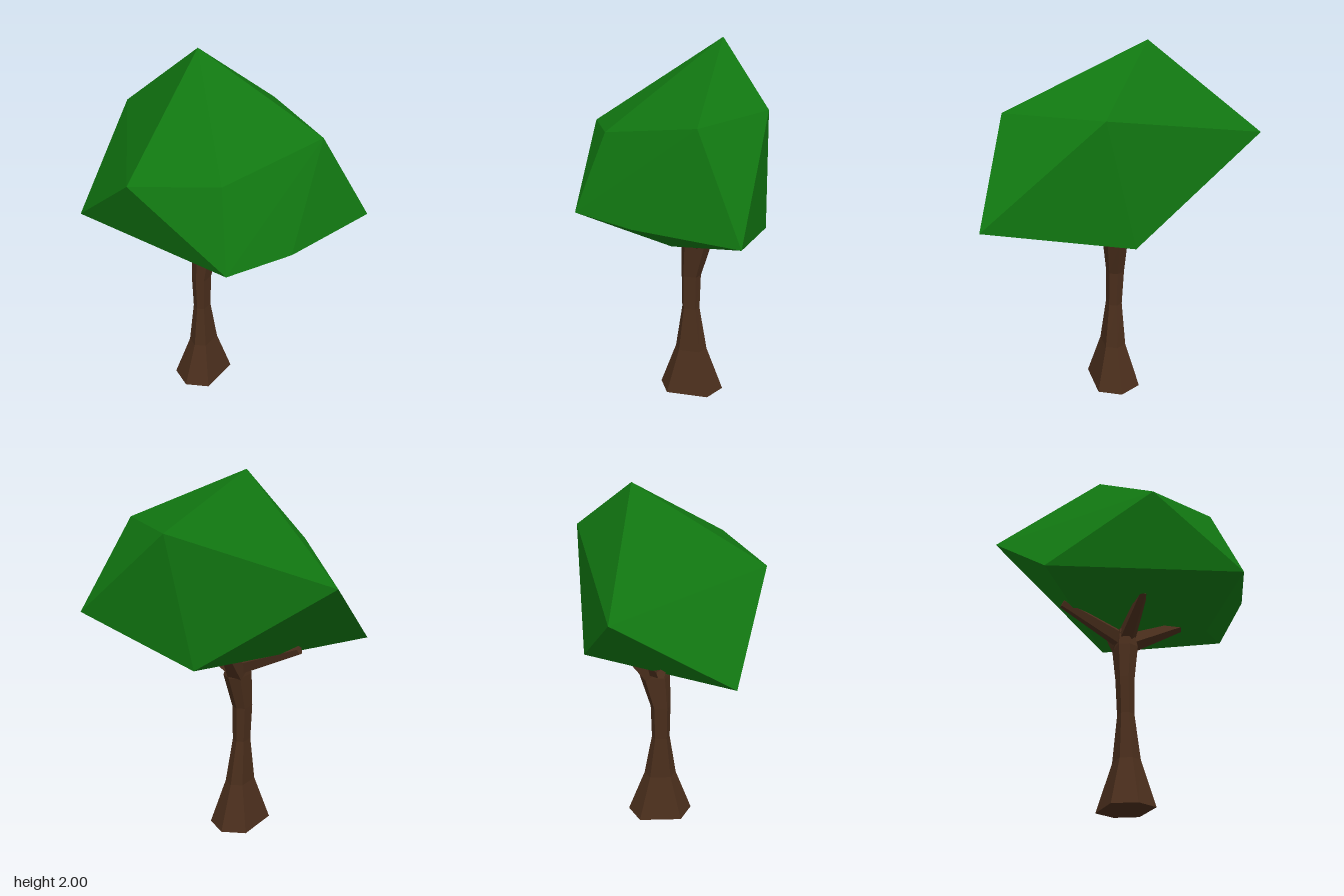
import * as THREE from 'three';
import { ConvexGeometry } from 'three/addons/geometries/ConvexGeometry.js';

const bark = new THREE.MeshStandardMaterial({ color: 0x4a2e1c, flatShading: true });
const leaf = new THREE.MeshStandardMaterial({ color: 0x117711, flatShading: true });

function addMesh(group, name, geometry, material) {
  const mesh = new THREE.Mesh(geometry, material);
  mesh.name = name;
  group.add(mesh);
  return mesh;
}

// Six-sided trunk: a unit cylinder whose rows are moved to the given rings.
function trunkGeometry() {
  // y, centre x, centre z, radius x, radius z (top to bottom)
  const rings = [
    [0.99, 0.085, -0.035, 0.06, 0.045],
    [0.89, 0.085, -0.03, 0.083, 0.063],
    [0.7, 0.055, -0.04, 0.055, 0.048],
    [0.5, 0.055, -0.035, 0.05, 0.042],
    [0.25, 0.06, -0.028, 0.09, 0.066],
    [0, 0.063, -0.03, 0.182, 0.139],
  ];
  const last = rings.length - 1;
  const geometry = new THREE.CylinderGeometry(1, 1, 1, 6, last, false, Math.PI / 2);
  const p = geometry.attributes.position;
  for (let i = 0; i < p.count; i++) {
    const [y, cx, cz, rx, rz] = rings[Math.round((0.5 - p.getY(i)) * last)];
    const x = p.getX(i);
    const wide = Math.abs(x) > 0.9 ? x : x * 1.3; // broad front and back faces
    p.setXYZ(i, cx + wide * rx, y, cz + p.getZ(i) * rz);
  }
  const flat = geometry.toNonIndexed();
  flat.computeVertexNormals();
  return flat;
}

// Tapered five-sided limb between two points.
function addBranch(group, name, from, to, r0, r1) {
  const a = new THREE.Vector3(...from);
  const d = new THREE.Vector3(...to).sub(a);
  const geometry = new THREE.CylinderGeometry(r1, r0, d.length(), 5);
  const mesh = addMesh(group, name, geometry, bark);
  mesh.position.copy(a).addScaledVector(d, 0.5);
  mesh.quaternion.setFromUnitVectors(new THREE.Vector3(0, 1, 0), d.normalize());
}

export function createModel() {
  const tree = new THREE.Group();
  tree.name = 'tree';

  addMesh(tree, 'trunk', trunkGeometry(), bark);

  addBranch(tree, 'frontBranch', [0.1, 0.92, -0.03], [0.1, 1.08, 0.3], 0.06, 0.03);
  addBranch(tree, 'backBranch', [0.085, 0.94, -0.05], [0.06, 1.09, -0.4], 0.05, 0.025);
  addBranch(tree, 'rightBranch', [0.08, 0.94, -0.03], [-0.17, 1.12, -0.02], 0.055, 0.025);
  addBranch(tree, 'leftBranch', [0.11, 0.91, -0.04], [0.28, 1.11, -0.08], 0.06, 0.03);

  // Faceted canopy
  const corners = [
    [0.19, 2, -0.16], // peak
    [0.22, 1.7, 0.57], [-0.3, 1.59, 0.33], [0.48, 1.7, 0.13], // upper ring
    [0.3, 1.515, -0.74], [-0.49, 1.54, -0.09],
    [0.465, 1.2, 0.74], [-0.09, 1.2, 0.61], [-0.43, 1.2, 0.45], // front rim
    [0.465, 1.02, -0.03], [-0.3, 1.1, -0.6], [0.07, 1.07, 0.46], // underside
  ].map((c) => new THREE.Vector3(...c));
  addMesh(tree, 'canopy', new ConvexGeometry(corners), leaf);

  return tree;
}
